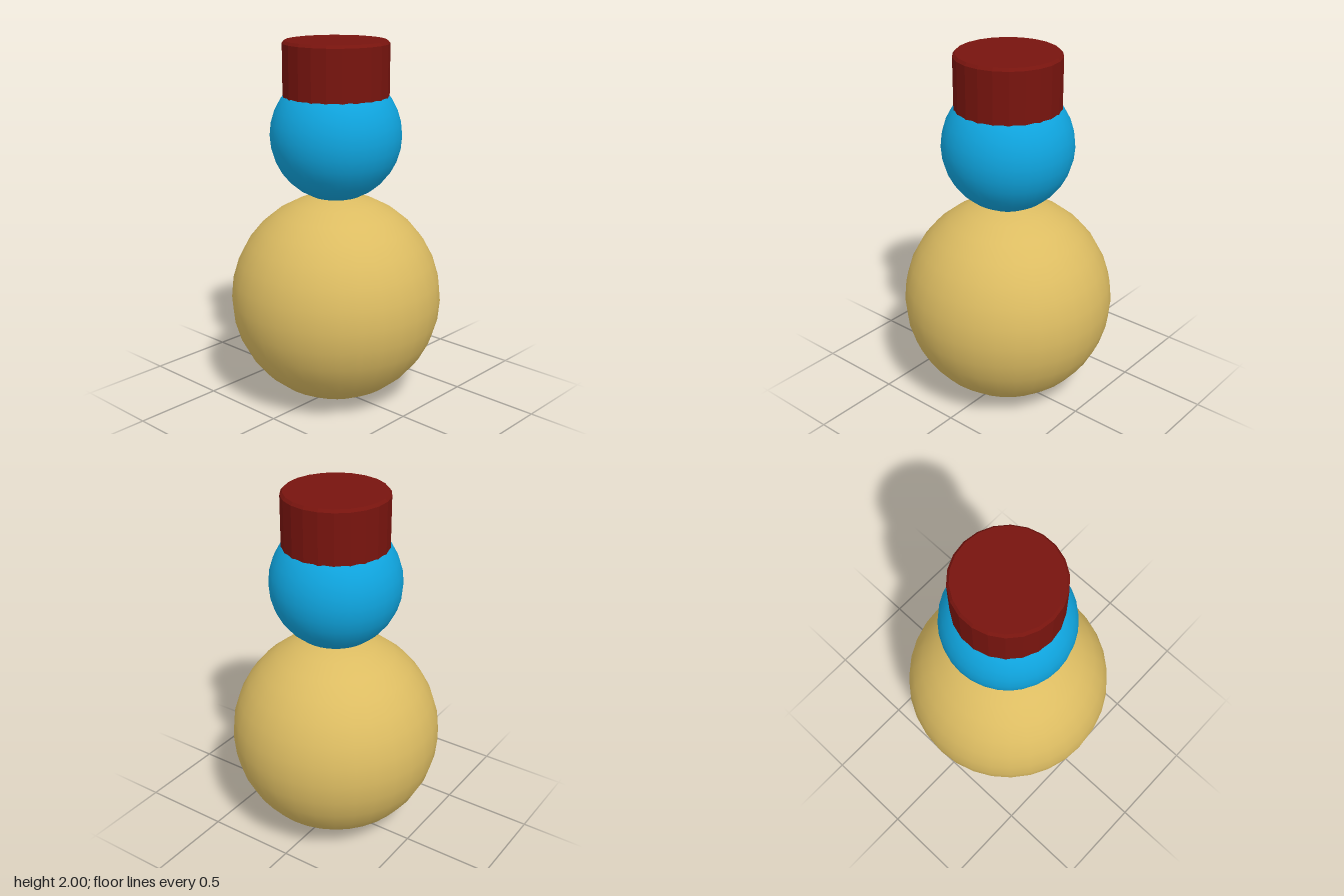
import * as THREE from 'three';

export function createModel() {
  const model = new THREE.Group();

  const add = (name, geometry, color, y, flatShading = false) => {
    const mesh = new THREE.Mesh(geometry, new THREE.MeshStandardMaterial({ color, flatShading }));
    mesh.name = name;
    mesh.position.y = y;
    model.add(mesh);
  };

  // Two stacked balls
  add('body', new THREE.SphereGeometry(0.583, 32, 16), 0xdcbc62, 0.583);
  add('head', new THREE.SphereGeometry(0.356, 32, 16), 0x0fa5df, 1.496);

  // Faceted hat with a small bevel round the top, sunk into the head
  const profile = [[0, 1.66], [0.285, 1.66], [0.285, 1.985], [0.272, 2], [0, 2]]
    .map(([r, y]) => new THREE.Vector2(r, y));
  add('hat', new THREE.LatheGeometry(profile, 22), 0x78140e, 0, true);

  return model;
}
